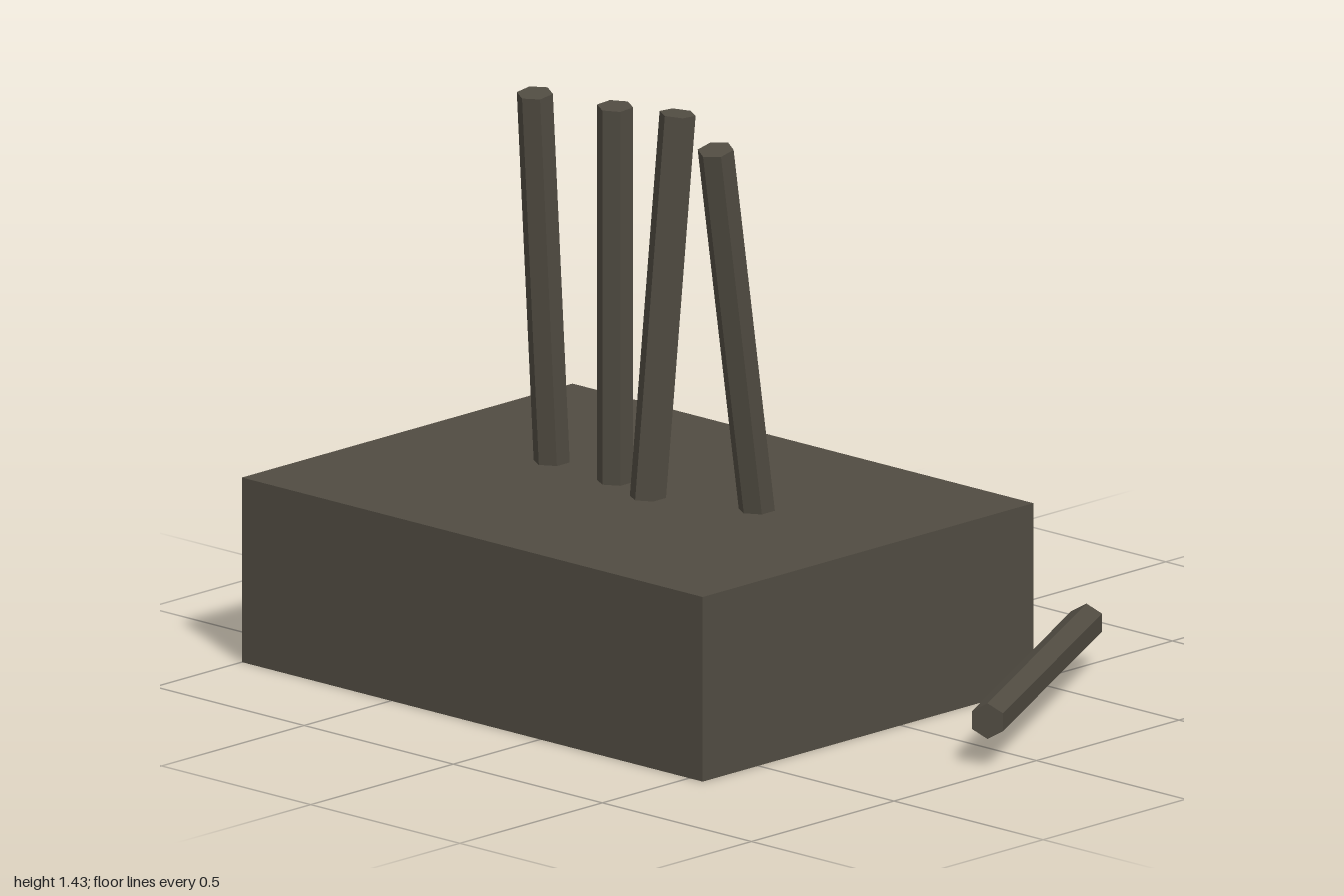
import * as THREE from 'three';

export function createModel() {
  const group = new THREE.Group();
  const darkStone = new THREE.MeshStandardMaterial({ color: 0x514c42, flatShading: true });
  const up = new THREE.Vector3(0, 1, 0);

  // Heavy rectangular base
  const base = new THREE.Mesh(new THREE.BoxGeometry(1.545, 0.465, 1.16), darkStone);
  base.name = 'base';
  base.position.set(-0.2275, 0.2325, 0.115);
  group.add(base);

  // Hexagonal rod from one end point to the other
  function rod(name, from, to) {
    const a = new THREE.Vector3(...from);
    const b = new THREE.Vector3(...to);
    const dir = b.clone().sub(a);
    const mesh = new THREE.Mesh(new THREE.CylinderGeometry(0.045, 0.045, dir.length(), 6), darkStone);
    mesh.name = name;
    mesh.position.copy(a).add(b).multiplyScalar(0.5);
    mesh.quaternion.setFromUnitVectors(up, dir.normalize());
    group.add(mesh);
    return mesh;
  }

  // Four leaning rods standing on the base: foot x, foot z, top x, top y, top z
  [
    [-0.558, 0.07, -0.51, 1.424, 0.18],
    [-0.325, 0.092, -0.279, 1.428, 0.14],
    [-0.17, 0.14, -0.124, 1.428, 0.083],
    [0.1, 0.038, 0.145, 1.419, 0.231],
  ].forEach(([x, z, tx, ty, tz], i) => rod(`standingRod${i + 1}`, [x, 0.455, z], [tx, ty, tz]));

  // Fallen rod lying beside the base, turned so one edge points up
  const fallen = rod('fallenRod', [0.518, 0.118, -0.68], [0.96, 0.118, 0.13]);
  fallen.rotation.set(Math.PI / 2, Math.atan2(0.442, 0.81), 0, 'YXZ');

  return group;
}
